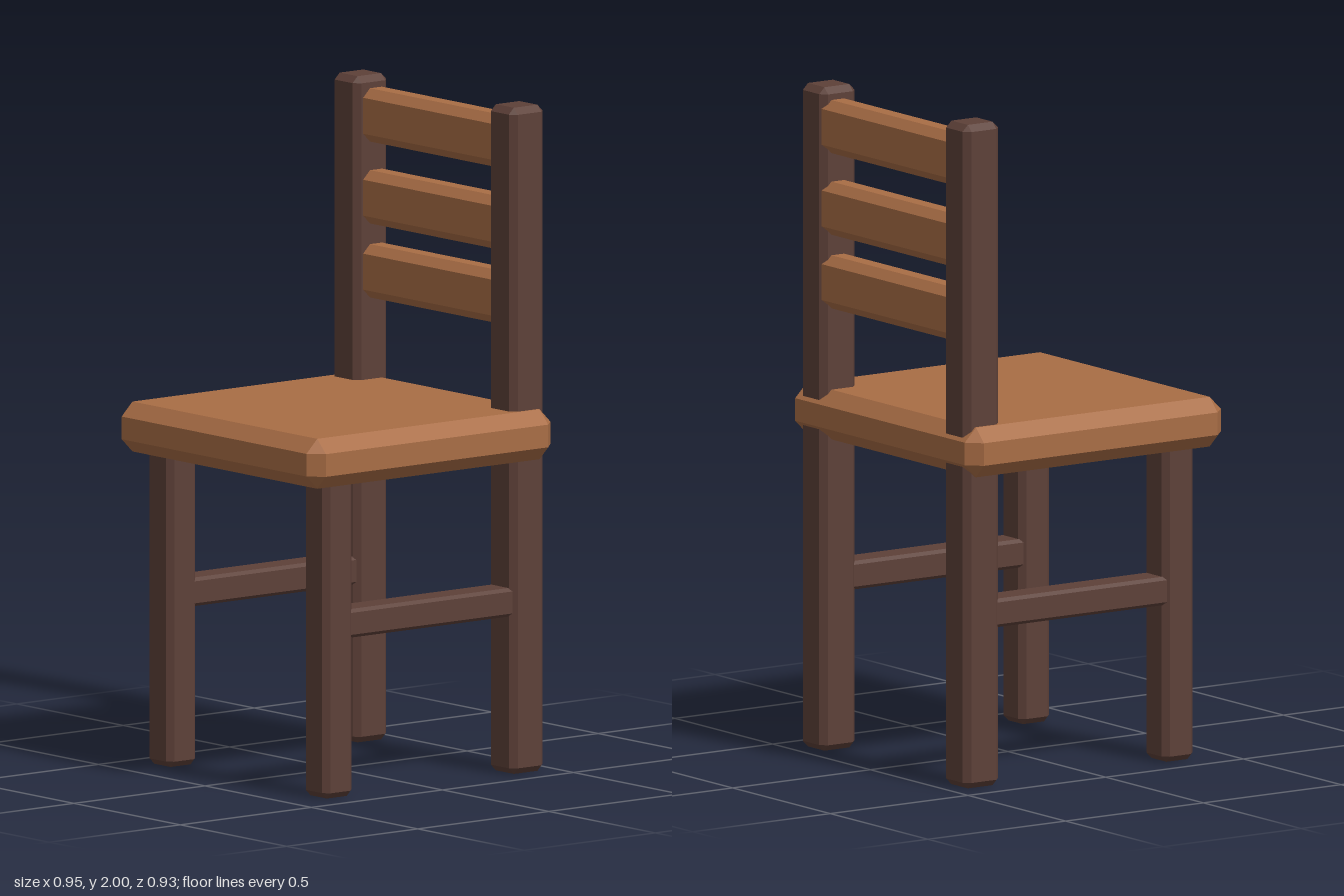
import * as THREE from 'three';
import { ConvexGeometry } from 'three/addons/geometries/ConvexGeometry.js';

// Box between min and max corners with every edge bevelled by c
function bevelBox(min, max, c) {
  const lo = new THREE.Vector3(...min), hi = new THREE.Vector3(...max);
  const mid = lo.clone().add(hi).multiplyScalar(0.5);
  const h = hi.sub(lo).multiplyScalar(0.5);
  const points = [];
  for (const sx of [-1, 1]) for (const sy of [-1, 1]) for (const sz of [-1, 1]) {
    for (const axis of ['x', 'y', 'z']) {
      const p = h.clone().subScalar(c);
      p[axis] += c;
      points.push(p.multiply(new THREE.Vector3(sx, sy, sz)));
    }
  }
  return new ConvexGeometry(points).translate(mid.x, mid.y, mid.z);
}

export function createModel() {
  const group = new THREE.Group();
  const lightWood = new THREE.MeshStandardMaterial({ color: 0xa96d45 });
  lightWood.name = 'lightWood';
  const darkWood = new THREE.MeshStandardMaterial({ color: 0x5d4038 });
  darkWood.name = 'darkWood';

  const add = (name, material, min, max, c) => {
    const mesh = new THREE.Mesh(bevelBox(min, max, c), material);
    mesh.name = name;
    group.add(mesh);
  };

  add('seat', lightWood, [-0.475, 0.94, -0.465], [0.475, 1.09, 0.465], 0.041);

  // Posts, legs and side stretchers, mirrored left and right
  for (const [side, s] of [['left', 1], ['right', -1]]) {
    const x = 0.367 * s;
    add(side + 'BackPost', darkWood, [x - 0.061, 0, -0.455], [x + 0.061, 2, -0.327], 0.019);
    add(side + 'FrontLeg', darkWood, [x - 0.056, 0, 0.27], [x + 0.056, 1.0, 0.382], 0.018);
    add(side + 'Stretcher', darkWood, [x - 0.05, 0.474, -0.37], [x + 0.05, 0.56, 0.32], 0.01);
  }

  // Back rest slats
  for (const [bottom, top] of [[1.335, 1.495], [1.557, 1.717], [1.803, 1.963]]) {
    add('backSlat', lightWood, [-0.35, bottom, -0.45], [0.35, top, -0.352], 0.026);
  }

  return group;
}
